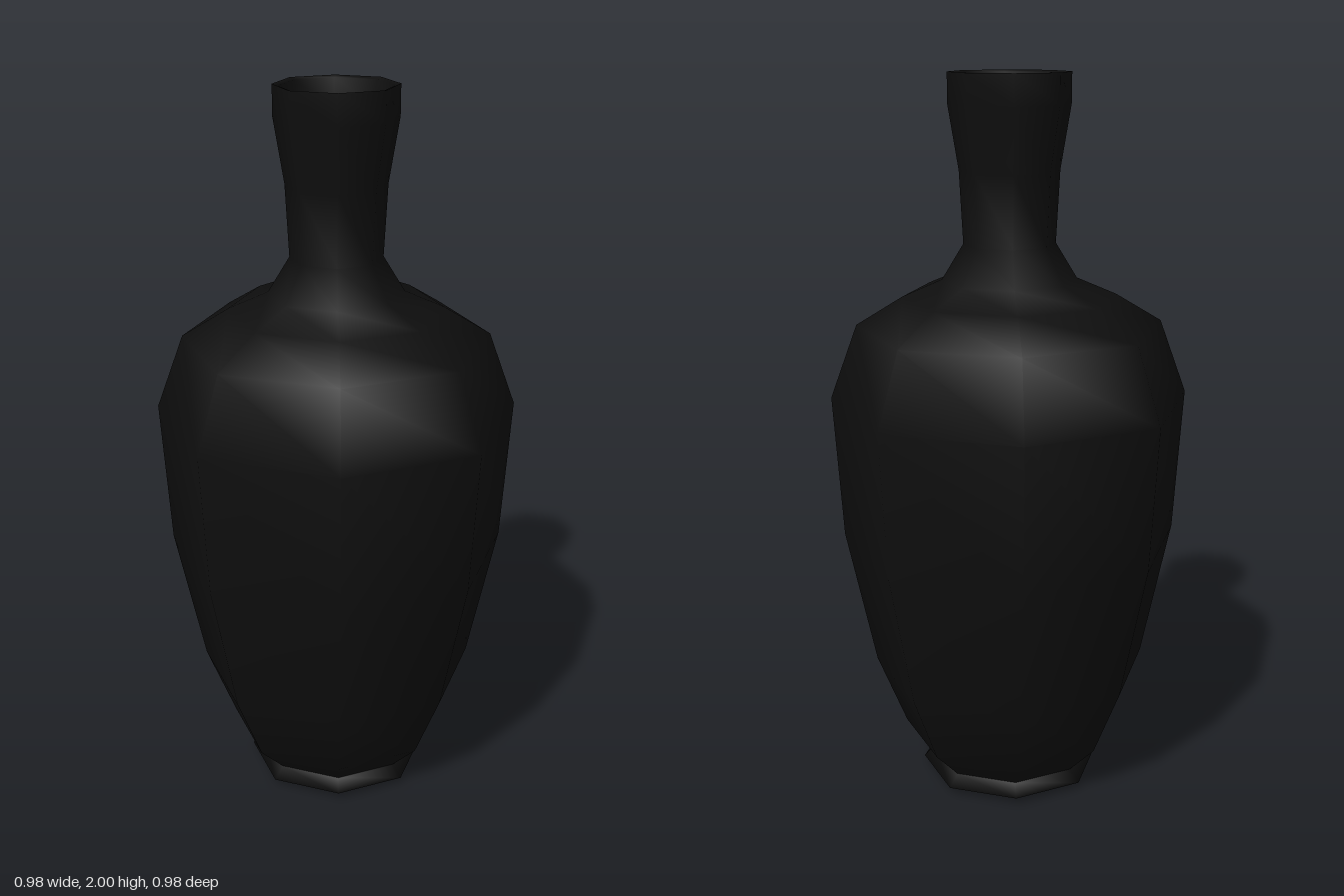
import * as THREE from 'three';

// Eight-sided turned shell; the diagonal corners sit slightly further out
function turned(name, profile, material) {
  const geometry = new THREE.LatheGeometry(profile.map(([r, y]) => new THREE.Vector2(r, y)), 8);
  const p = geometry.attributes.position;
  for (let i = 0; i < p.count; i++) {
    const x = p.getX(i), z = p.getZ(i);
    if (Math.min(Math.abs(x), Math.abs(z)) > 1e-4) {
      p.setX(i, x * 1.03);
      p.setZ(i, z * 1.03);
    }
  }
  const mesh = new THREE.Mesh(geometry, material);
  mesh.name = name;
  return mesh;
}

export function createModel() {
  const group = new THREE.Group();
  group.name = 'vase';
  const black = new THREE.MeshStandardMaterial({ color: 0x0e0e0e });
  black.name = 'black glaze';

  // Flared foot with a flat underside
  group.add(turned('foot', [
    [0, 0.004], [0.21, 0], [0.255, 0.022], [0.225, 0.055],
  ], black));

  // Body, shoulder and neck
  group.add(turned('body', [
    [0.225, 0.055], [0.305, 0.145], [0.387, 0.35], [0.467, 0.74],
    [0.49, 1.14], [0.415, 1.342], [0.29, 1.417], [0.182, 1.463],
    [0.124, 1.558], [0.134, 1.75], [0.162, 1.92], [0.162, 2],
  ], black));

  // Rim, running down the inside of the neck to the inner floor
  group.add(turned('rimAndInside', [
    [0.162, 2], [0.147, 1.995], [0.145, 1.92], [0.12, 1.75],
    [0.11, 1.558], [0.165, 1.45], [0.4, 1.33], [0.47, 1.14],
    [0.447, 0.74], [0.367, 0.35], [0.285, 0.15], [0, 0.08],
  ], black));

  return group;
}
